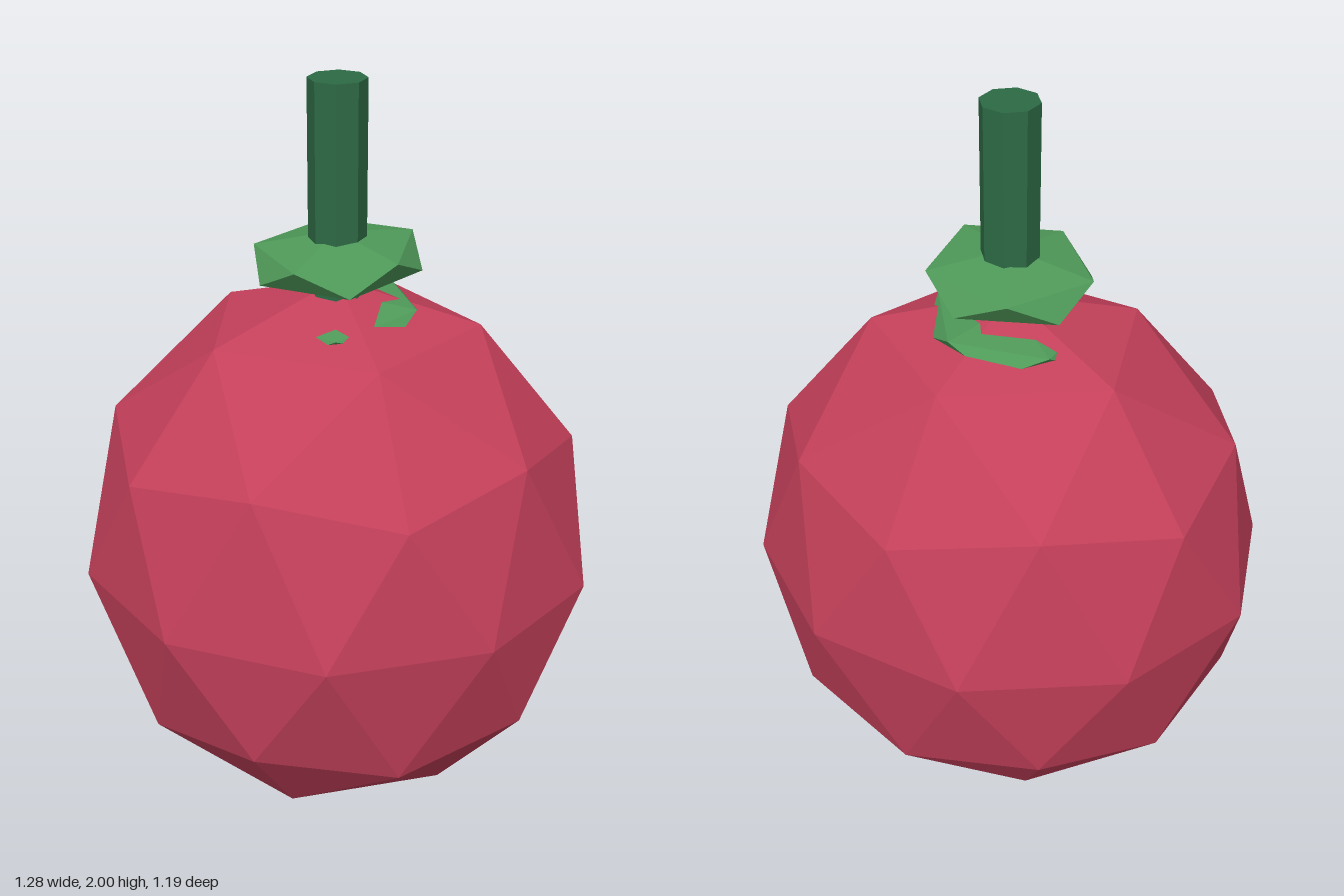
import * as THREE from 'three';

const flat = (name, color) => {
  const m = new THREE.MeshStandardMaterial({ color, flatShading: true });
  m.name = name;
  return m;
};

// Faceted ball with a vertex at each pole and an upper-ring vertex towards +x,
// turned about y, then stretched to the given radii.
function facetedBall(detail, turn, rx, ry, rz) {
  const g = new THREE.IcosahedronGeometry(1, detail);
  g.rotateZ(-Math.atan(2 / (1 + Math.sqrt(5))));
  g.rotateY(turn);
  g.scale(rx, ry, rz);
  g.computeVertexNormals();
  return g;
}

export function createModel() {
  const model = new THREE.Group();
  const fruitRed = flat('fruitRed', 0xc4405a);
  const leafGreen = flat('leafGreen', 0x4f9a59);
  const stemGreen = flat('stemGreen', 0x2d6a45);

  const add = (name, geometry, material, y) => {
    const mesh = new THREE.Mesh(geometry, material);
    mesh.name = name;
    mesh.position.y = y;
    model.add(mesh);
    return mesh;
  };

  // Fruit body
  add('fruit', facetedBall(1, 0, 0.673, 0.755, 0.595), fruitRed, 0.755);

  // Eight-sided stem
  add('stem', new THREE.CylinderGeometry(0.071, 0.071, 0.6, 8), stemGreen, 1.7);

  // Upper leaf collar, slightly tilted
  const deg = Math.PI / 180;
  const upper = add('upperCollar', facetedBall(0, -44 * deg, 0.231, 0.067, 0.231), leafGreen, 1.567);
  upper.rotation.z = 0.05;

  // Lower leaf collar, mostly sunk into the fruit and rising on one side
  const lower = add('lowerCollar', facetedBall(0, -16 * deg, 0.23, 0.06, 0.23), leafGreen, 1.418);
  lower.rotation.set(0.06, 0, 0.08);

  return model;
}
